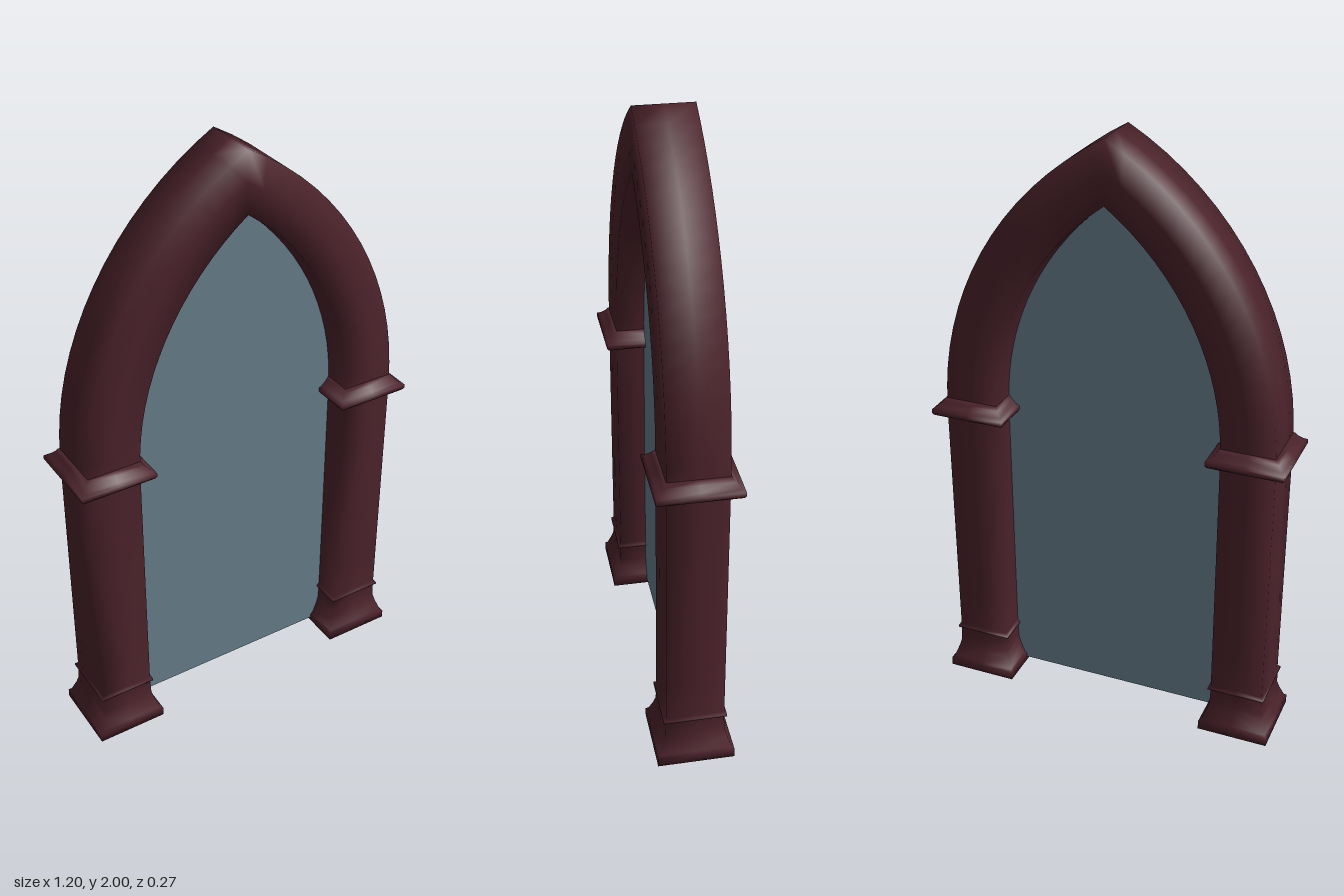
import * as THREE from 'three';

// Square ring with mid-edge points, counter-clockwise seen along the sweep
const SQUARE = [[1, 0], [1, -1], [0, -1], [-1, -1], [-1, 0], [-1, 1], [0, 1], [1, 1]];

// Skin a list of rings (each 8 [x, y, z] points) with shared, smooth normals
function loft(rings) {
  const n = SQUARE.length, index = [];
  for (let i = 0; i < rings.length - 1; i++) {
    for (let j = 0; j < n; j++) {
      const a = i * n + j, b = i * n + (j + 1) % n;
      index.push(a, b, b + n, a, b + n, a + n);
    }
  }
  const geo = new THREE.BufferGeometry();
  geo.setAttribute('position', new THREE.Float32BufferAttribute(rings.flat(2), 3));
  geo.setIndex(index);
  geo.computeVertexNormals();
  return geo;
}

// Pointed-arch curve: half span w, springing height y0, apex height y1
function arcPoint(w, y0, y1, t) {
  const h = y1 - y0, r = (w * w + h * h) / (2 * w), cx = w - r;
  const a = t * Math.atan2(h, -cx);
  return [cx + r * Math.cos(a), y0 + r * Math.sin(a)];
}

export function createModel() {
  const group = new THREE.Group();
  const stone = new THREE.MeshStandardMaterial({ color: 0x4a222a });
  const glass = new THREE.MeshStandardMaterial({ color: 0x667d8a, side: THREE.DoubleSide });

  // Columns: half width and height from base, through collar and shaft, to capital
  const profile = [
    [0.001, 0], [0.12, 0], [0.12, 0.03], [0.112, 0.037], [0.098, 0.075], [0.091, 0.1],
    [0.089, 0.15], [0.097, 0.157], [0.097, 0.164], [0.089, 0.172], [0.089, 0.3],
    [0.089, 0.8], [0.089, 1.0], [0.09, 1.02], [0.122, 1.022], [0.127, 1.03],
    [0.127, 1.043], [0.115, 1.05], [0.1, 1.065], [0.092, 1.077], [0.001, 1.077],
  ];
  const columnGeo = loft(profile.map(([h, y]) =>
    SQUARE.map(([u, v]) => [0.472 + u * h, y, v * (h + 0.006)])));
  for (const side of [1, -1]) {
    const column = new THREE.Mesh(columnGeo, stone);
    column.name = side > 0 ? 'leftColumn' : 'rightColumn';
    column.scale.x = side;
    group.add(column);
  }

  // Pointed arch swept from one capital over the apex to the other
  const STEPS = 16, rings = [];
  for (let i = 0; i <= 2 * STEPS; i++) {
    const t = i <= STEPS ? i / STEPS : (2 * STEPS - i) / STEPS;
    const s = i <= STEPS ? 1 : -1;
    const [xi, yi] = arcPoint(0.382, 1.05, 1.8, t);
    const [xo, yo] = arcPoint(0.56, 1.05, 2, t);
    rings.push(SQUARE.map(([u, v]) => {
      const k = (u + 1) / 2;
      return [s * (xi + (xo - xi) * k), yi + (yo - yi) * k, v * 0.095];
    }));
  }
  const arch = new THREE.Mesh(loft(rings), stone);
  arch.name = 'pointedArch';
  group.add(arch);

  // Thin pane filling the opening, its edges buried in the frame
  const pane = new THREE.Shape();
  pane.moveTo(-0.4, 0.015);
  pane.lineTo(0.4, 0.015);
  for (let i = 0; i <= 2 * STEPS; i++) {
    const t = i <= STEPS ? i / STEPS : (2 * STEPS - i) / STEPS;
    const [x, y] = arcPoint(0.4, 1.05, 1.83, t);
    pane.lineTo(i <= STEPS ? x : -x, y);
  }
  const paneMesh = new THREE.Mesh(new THREE.ShapeGeometry(pane), glass);
  paneMesh.name = 'pane';
  group.add(paneMesh);

  return group;
}
